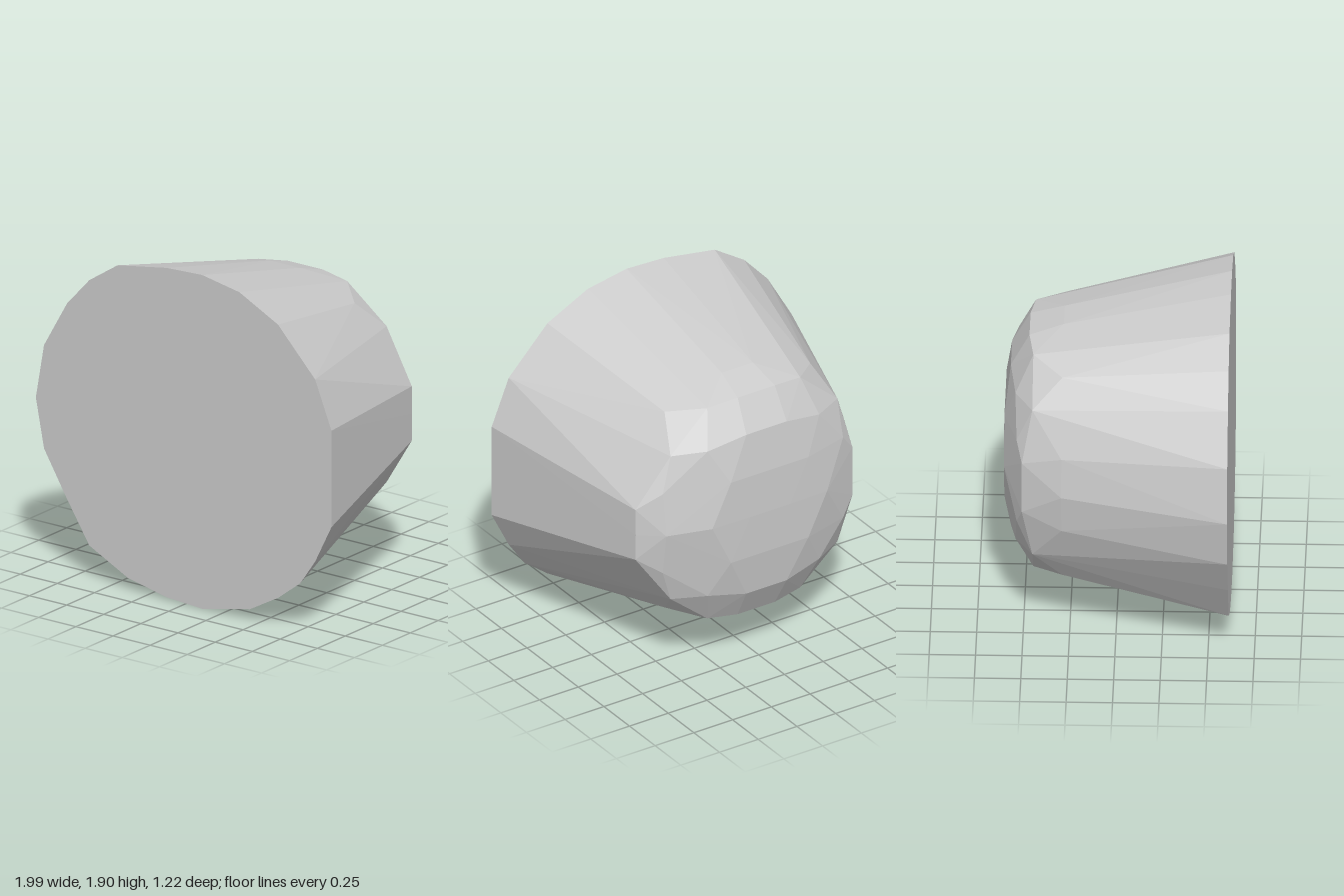
import * as THREE from 'three';
import { ConvexGeometry } from 'three/addons/geometries/ConvexGeometry.js';

const MID = 0.955; // height of the axis

// Flat front face outline, all at the same depth
const FRONT_Z = 0.61;
const outline = [
  [0.12, 1.905], [0.37, 1.86], [0.63, 1.73], [0.88, 1.47], [0.99, 1.2], [0.99, 0.65],
  [0.88, 0.43], [0.78, 0.285], [0.63, 0.17], [0.44, 0.065], [0.12, 0], [-0.12, 0.015],
  [-0.38, 0.07], [-0.64, 0.2], [-0.8, 0.45], [-0.945, 0.69], [-1, 0.97], [-0.945, 1.28],
  [-0.79, 1.55], [-0.64, 1.715], [-0.45, 1.84], [-0.12, 1.895],
];

// Domed back: [x, height from the axis, z], mirrored over the axis and, if shared, in x
const shared = [
  [0.1, 0.733, -0.29], [0.47, 0.61, -0.29], // shoulder
  [0.12, 0.675, -0.475], [0.3, 0.655, -0.45], // rim above and below
  [0.13, 0.495, -0.575], [0.36, 0.45, -0.545], // slope
  [0.25, 0.25, -0.607], [0.37, 0, -0.607], [0.13, 0, -0.613], // back plate
];
const leftSide = [
  [0.75, 0.155, -0.43], [0.75, 0, -0.433], [0.55, 0.445, -0.47],
  [0.62, 0.245, -0.5], [0.62, 0, -0.535],
];
const rightSide = [
  [-0.71, 0, -0.29], [-0.68, 0.22, -0.29], [-0.54, 0.445, -0.45],
  [-0.6, 0.15, -0.505], [-0.52, 0.25, -0.535],
];

export function createModel() {
  const points = outline.map(([x, y]) => new THREE.Vector3(x, y, FRONT_Z));
  const addPair = (x, h, z) => {
    points.push(new THREE.Vector3(x, MID + h, z));
    if (h) points.push(new THREE.Vector3(x, MID - h, z));
  };
  for (const [x, h, z] of shared) {
    addPair(x, h, z);
    addPair(-x, h, z);
  }
  for (const p of [...leftSide, ...rightSide]) addPair(...p);

  // One faceted body, flat in front and domed at the back
  const body = new THREE.Mesh(
    new ConvexGeometry(points),
    new THREE.MeshStandardMaterial({ color: 0xcccccc, flatShading: true }),
  );
  body.name = 'taperedBody';

  const group = new THREE.Group();
  group.name = 'taperedPlug';
  group.add(body);
  return group;
}
